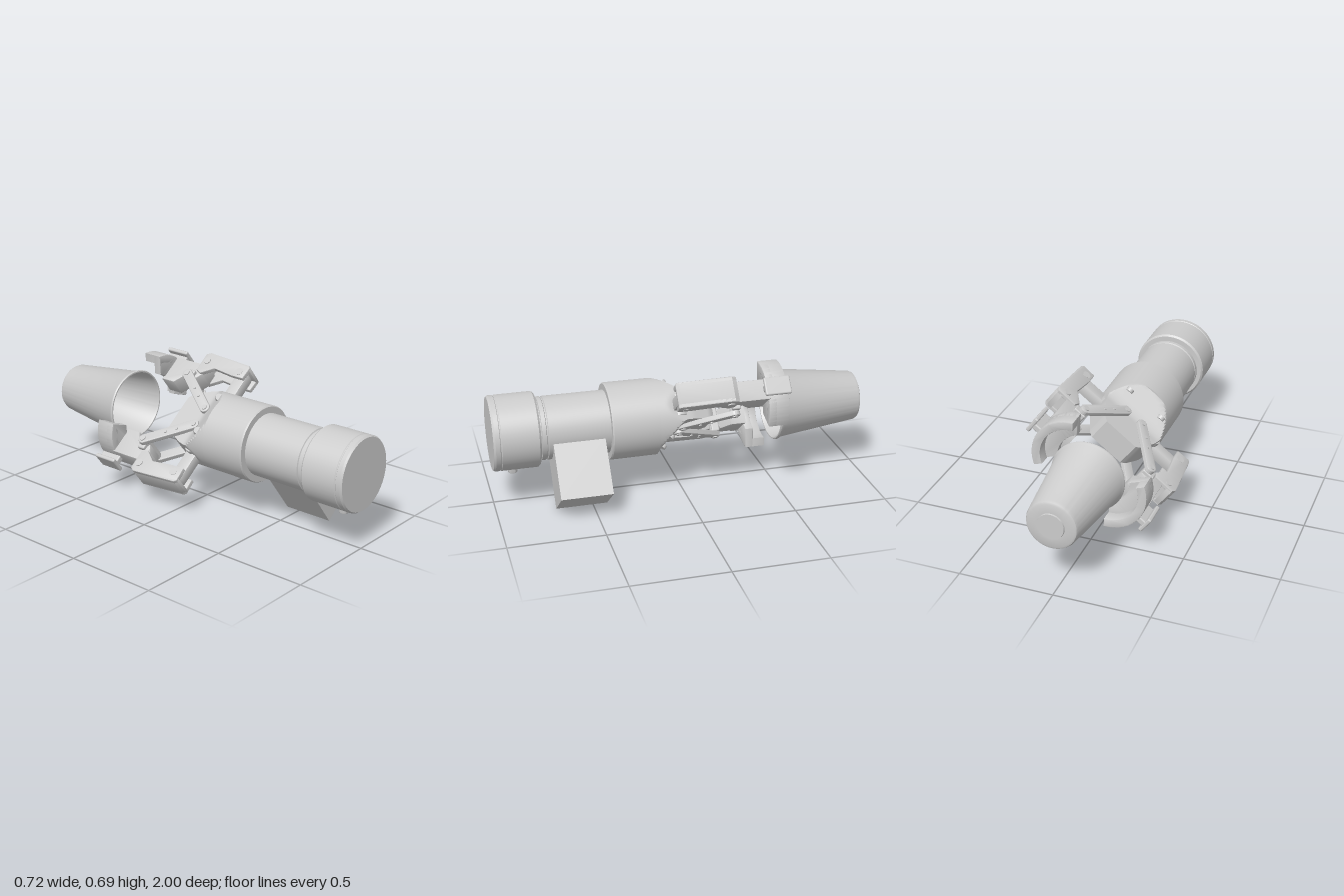
import * as THREE from 'three';
import { toCreasedNormals } from 'three/addons/utils/BufferGeometryUtils.js';
import { RoundedBoxGeometry } from 'three/addons/geometries/RoundedBoxGeometry.js';

const grey = new THREE.MeshStandardMaterial({ color: 0xcccccc });
const clamp = THREE.MathUtils.clamp;

function add(parent, name, geometry, x = 0, y = 0, z = 0) {
  const mesh = new THREE.Mesh(geometry, grey);
  mesh.name = name;
  mesh.position.set(x, y, z);
  parent.add(mesh);
  return mesh;
}

// Turned part along z from [radius, z] pairs
function turned(points, sides = 72) {
  const g = new THREE.LatheGeometry(points.map(p => new THREE.Vector2(...p)), sides);
  return toCreasedNormals(g.rotateX(Math.PI / 2), 0.6);
}

// Shape extruded about its middle, with an optional bevel kept inside the depth
function extruded(shape, depth, bevel = 0) {
  const g = new THREE.ExtrudeGeometry(shape, {
    depth: depth - 2 * bevel, bevelEnabled: bevel > 0, bevelSize: bevel, bevelOffset: -bevel,
    bevelThickness: bevel, bevelSegments: 2, curveSegments: 24,
  });
  return toCreasedNormals(g.translate(0, 0, bevel - depth / 2), 0.6);
}

// Plate with an (x, z) outline and its thickness along y
function plate(points, thickness, bevel) {
  const shape = new THREE.Shape(points.map(p => new THREE.Vector2(...p)));
  return extruded(shape, thickness, bevel).rotateX(Math.PI / 2);
}

// Round-ended bar outline between two (x, z) points
function bar([x0, z0], [x1, z1], r, thickness) {
  const a = Math.atan2(z1 - z0, x1 - x0), shape = new THREE.Shape();
  shape.absarc(x1, z1, r, a - Math.PI / 2, a + Math.PI / 2);
  shape.absarc(x0, z0, r, a + Math.PI / 2, a + Math.PI * 1.5);
  return extruded(shape, thickness, 0.005).rotateX(Math.PI / 2);
}

const pin = (r, length) => new THREE.CylinderGeometry(r, r, length, 20);

// Annular sector, each arc with its own centre on x
function sector(c0, r0, a0, c1, r1, a1) {
  const shape = new THREE.Shape();
  shape.absarc(c1, 0, r1, -a1, a1, false);
  shape.absarc(c0, 0, r0, a0, -a0, true);
  shape.closePath();
  return shape;
}

// Linear interpolation through [z, value] keys
function along(keys, z) {
  for (let i = 1; i < keys.length; i++) {
    const [za, va] = keys[i - 1], [zb, vb] = keys[i];
    if (z <= zb) return va + (vb - va) * (z - za) / (zb - za);
  }
  return keys.at(-1)[1];
}

// Palm: a circle clipped by side faces that close in toward the tip
function palmGeometry() {
  const half = [[-0.165, 0.07], [0, 0.08], [0.03, 0.1], [0.15, 0.203]];
  const wide = [[-0.165, 0.1], [-0.14, 0.125], [-0.04, 0.17], [0.04, 0.19], [0.09, 0.203]];
  const rows = 24, n = 96, pos = [], index = [];
  for (let j = 0; j <= rows; j++) {
    const z = -0.165 + 0.315 * j / rows, h = along(half, z), w = along(wide, z);
    for (let i = 0; i < n; i++) {
      const a = i / n * Math.PI * 2;
      pos.push(clamp(0.203 * Math.cos(a), -w, w), clamp(0.203 * Math.sin(a), -h, h), z);
    }
  }
  pos.push(0, 0, -0.165);
  const tip = pos.length / 3 - 1;
  for (let i = 0; i < n; i++) {
    const k = (i + 1) % n;
    index.push(tip, k, i);
    for (let j = 0; j < rows; j++) {
      const a = j * n + i, b = j * n + k;
      index.push(a, b, b + n, a, b + n, a + n);
    }
  }
  const g = new THREE.BufferGeometry();
  g.setAttribute('position', new THREE.Float32BufferAttribute(pos, 3));
  g.setIndex(index);
  return toCreasedNormals(g, 0.5);
}

// One finger, opening toward +x
function finger() {
  const f = new THREE.Group();
  // Driving knuckle from the palm out to the channel
  add(f, 'outerKnuckle', bar([0.14, 0.03], [0.335, 0.03], 0.035, 0.06));
  add(f, 'outerKnucklePin', pin(0.022, 0.138), 0.335, 0, 0.03);
  add(f, 'palmPivot', pin(0.045, 0.11), 0.15, 0, 0.03);

  // Channel link: two cheeks and an outer wall
  const cheek = [[0.30, 0.075], [0.375, 0.08], [0.387, 0.065], [0.405, -0.21], [0.39, -0.235],
    [0.28, -0.235], [0.265, -0.2], [0.315, -0.13], [0.30, 0]];
  const wall = [[0.36, 0.08], [0.375, 0.08], [0.387, 0.065], [0.405, -0.21], [0.39, -0.235], [0.36, -0.235]];
  for (const s of [-1, 1]) {
    add(f, 'channelCheek', plate(cheek, 0.026, 0.006), 0, s * 0.054, 0);
    add(f, 'channelPin', pin(0.02, 0.008), 0.35, s * 0.068, -0.2);
    // Inner bar lying over the palm face
    add(f, 'innerKnuckle', bar([0.055, -0.005], [0.225, -0.245], 0.028, 0.028), 0, s * 0.088, 0);
    for (const t of [0, 0.33, 0.55, 1])
      add(f, 'barPin', pin(t % 1 ? 0.008 : 0.015, 0.008), 0.055 + 0.17 * t, s * 0.103, -0.005 - 0.24 * t);
  }
  add(f, 'channelWall', plate(wall, 0.12, 0.004));
  add(f, 'channelCap', new RoundedBoxGeometry(0.1, 0.1, 0.03, 2, 0.006), 0.335, 0, -0.215);
  add(f, 'innerKnucklePin', pin(0.024, 0.18), 0.225, 0, -0.245);

  // Finger body carrying the jaw
  add(f, 'fingerBody', plate([[0.175, -0.42], [0.33, -0.42], [0.33, -0.19], [0.27, -0.19],
    [0.205, -0.235], [0.205, -0.275], [0.245, -0.285], [0.175, -0.335]], 0.11, 0.006));
  add(f, 'fingerKnuckle', new RoundedBoxGeometry(0.07, 0.15, 0.045, 2, 0.008), 0.235, 0, -0.25);

  // Curved jaw: floor, raised wall and outer rib
  const wide = 1.0;
  add(f, 'jawFloor', extruded(sector(0.06, 0.146, 0.655, 0.12, 0.212, wide), 0.045, 0.005), 0, 0, -0.4325);
  add(f, 'jawWall', extruded(sector(0.12, 0.165, wide, 0.12, 0.212, wide), 0.11, 0.005), 0, 0, -0.465);
  add(f, 'jawRib', new RoundedBoxGeometry(0.065, 0.035, 0.13, 2, 0.008), 0.348, 0, -0.452);
  add(f, 'jawRibFlange', new RoundedBoxGeometry(0.022, 0.095, 0.14, 2, 0.008), 0.376, 0, -0.45);
  return f;
}

export function createModel() {
  const model = new THREE.Group();
  model.name = 'gripperArm';
  const tool = new THREE.Group();
  tool.name = 'tool';
  tool.position.y = 0.397;
  tool.rotation.z = THREE.MathUtils.degToRad(37.7);
  model.add(tool);

  // Stepped arm body: housing, neck and end cap
  add(tool, 'armBody', turned([[0, 0.14], [0.203, 0.14], [0.204, 0.385], [0.199, 0.392], [0.166, 0.392],
    [0.166, 0.715], [0.16, 0.718], [0.16, 0.724], [0.166, 0.727], [0.166, 0.748], [0.158, 0.75], [0.158, 0.758],
    [0.188, 0.758], [0.197, 0.768], [0.197, 0.957], [0.194, 0.96], [0.194, 0.964], [0.197, 0.967],
    [0.197, 0.99], [0.19, 1], [0, 1]], 96));
  add(tool, 'palm', palmGeometry());
  add(tool, 'sideBox', new THREE.BoxGeometry(0.232, 0.3, 0.27), 0, -0.26, 0.56);

  // Screws on the sloping palm faces
  for (const s of [-1, 1]) for (const x of [-0.11, 0.11]) {
    const screw = add(tool, 'palmScrew', pin(0.02, 0.02), x, s * 0.145, 0.082);
    screw.rotation.x = s * 0.71;
  }

  for (const turn of [0, Math.PI]) {
    const f = finger();
    f.name = turn ? 'rightFinger' : 'leftFinger';
    f.rotation.z = turn;
    tool.add(f);
  }

  // Open cup with a rounded base and a beaded rim
  add(tool, 'cup', turned([[0, -1], [0.068, -1], [0.07, -0.993], [0.118, -0.993], [0.128, -0.988],
    [0.134, -0.975], [0.186, -0.545], [0.194, -0.535], [0.196, -0.525], [0.193, -0.518], [0.186, -0.518],
    [0.18, -0.53], [0.126, -0.965], [0, -0.965]], 96));

  // Cable connector under the end cap
  const knob = [[0, 0.163], [0.017, 0.163], [0.023, 0.166], [0.025, 0.172], [0.025, 0.22]];
  add(model, 'connector', toCreasedNormals(
    new THREE.LatheGeometry(knob.map(p => new THREE.Vector2(...p)), 32), 0.7), 0, 0, 0.89);
  return model;
}
